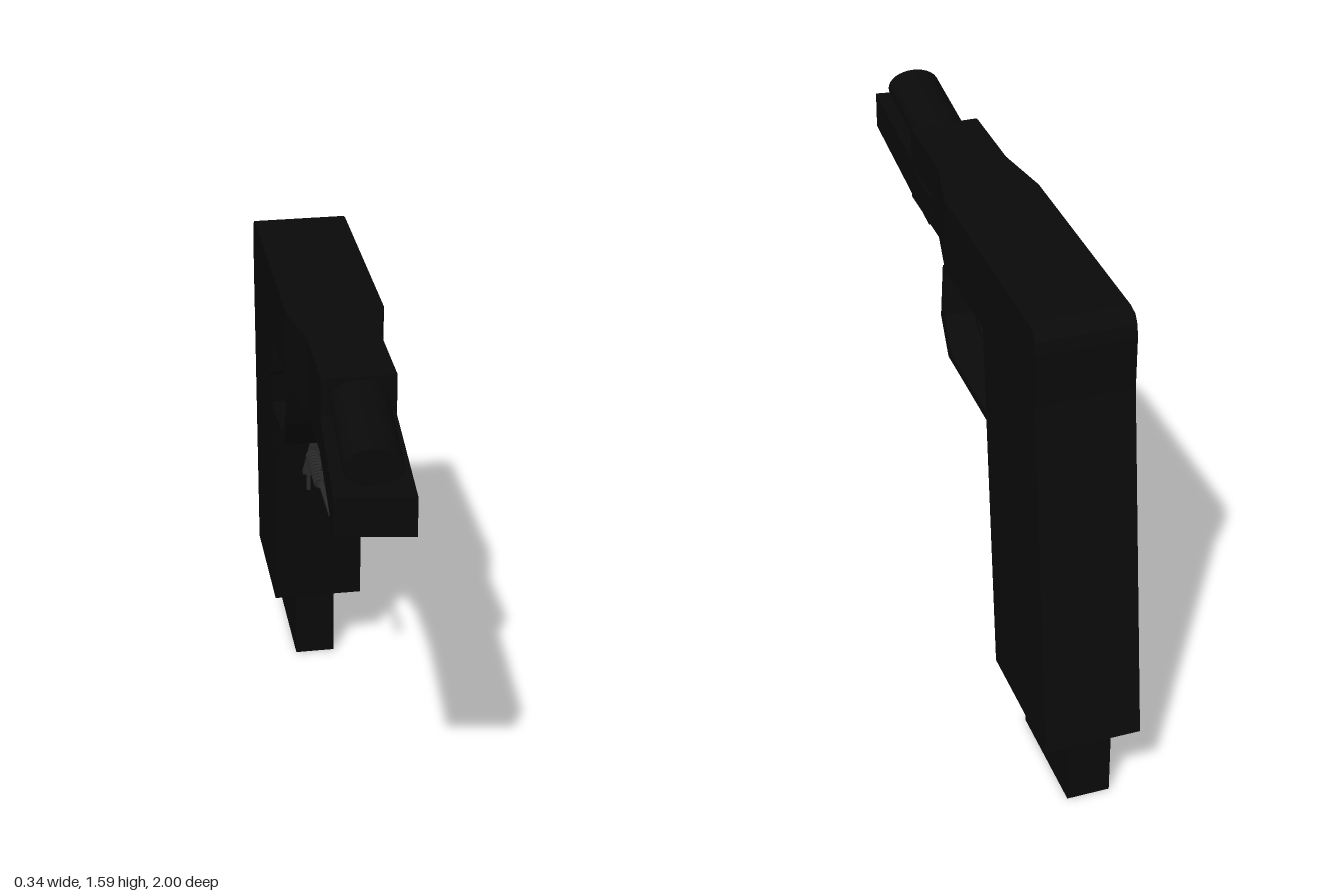
import * as THREE from 'three';

const dark = new THREE.MeshStandardMaterial({ color: 0x0a0a0a, flatShading: true });
const barrelMat = new THREE.MeshStandardMaterial({ color: 0x0a0a0a });
const steel = new THREE.MeshStandardMaterial({ color: 0x2a2a2a });

// Skins a row of four-cornered rings, closed at both ends.
// Corners run counter-clockwise seen from the last ring's side.
function loft(rings) {
  const pos = [];
  const quad = (a, b, c, d) => pos.push(...a, ...b, ...c, ...a, ...c, ...d);
  for (let r = 0; r < rings.length - 1; r++) {
    for (let i = 0; i < 4; i++) {
      const j = (i + 1) % 4;
      quad(rings[r][i], rings[r][j], rings[r + 1][j], rings[r + 1][i]);
    }
  }
  const first = rings[0], last = rings[rings.length - 1];
  quad(first[3], first[2], first[1], first[0]);
  quad(last[0], last[1], last[2], last[3]);
  const g = new THREE.BufferGeometry();
  g.setAttribute('position', new THREE.Float32BufferAttribute(pos, 3));
  g.computeVertexNormals();
  return g;
}

// Ring across z; zr lets the right edge lie at another depth.
const ringZ = ([z, xl, xr, yb, yt, zr = z]) =>
  [[xl, yb, z], [xr, yb, zr], [xr, yt, zr], [xl, yt, z]];
// Ring across y.
const ringY = ([y, xl, xr, zBack, zFront]) =>
  [[xl, y, zFront], [xr, y, zFront], [xr, y, zBack], [xl, y, zBack]];
// Ring of a bent strip: outer and inner points in the z-y plane.
const ringStrip = ([xl, xr, zo, yo, zi, yi]) =>
  [[xl, yo, zo], [xr, yo, zo], [xr, yi, zi], [xl, yi, zi]];

export function createModel() {
  const model = new THREE.Group();
  const add = (name, geometry, material = dark, parent = model) => {
    const mesh = new THREE.Mesh(geometry, material);
    mesh.name = name;
    parent.add(mesh);
    return mesh;
  };

  // Upper body with rounded rear edge and narrowed waist
  add('upperBody', loft([
    [-0.8, -0.155, 0.145, 1.345, 1.51],
    [-0.793, -0.155, 0.145, 1.345, 1.55],
    [-0.775, -0.155, 0.145, 1.345, 1.575],
    [-0.74, -0.155, 0.145, 1.345, 1.583],
    [0, -0.155, 0.145, 1.345, 1.585],
    [0.2, -0.12, 0.1, 1.345, 1.588],
    [0.48, -0.12, 0.1, 1.345, 1.588],
  ].map(ringZ)));
  add('sideRidge', loft([
    [0.26, 0.05, 0.113, 1.36, 1.46],
    [0.48, 0.05, 0.1, 1.36, 1.46],
  ].map(ringZ)));

  // Front rail, swung slightly to one side
  add('frontRail', loft([
    [0.44, -0.12, 0.1, 1.35, 1.47],
    [0.96, -0.16, 0.065, 1.35, 1.47, 0.995],
  ].map(ringZ)));

  // Flattened round barrel lying on the rail
  const barrelGeo = new THREE.CylinderGeometry(1, 1, 0.47, 32);
  barrelGeo.rotateX(Math.PI / 2).scale(0.085, 0.057, 1);
  const barrel = add('barrel', barrelGeo, barrelMat);
  barrel.position.set(-0.025, 1.522, 0.675);
  barrel.rotation.y = -0.07;

  // Grip and the block below it
  add('grip', loft([
    [0.25, -0.13, 0.17, -1, -0.55],
    [1.345, -0.155, 0.145, -0.8, -0.355],
  ].map(ringY)));
  add('gripBase', loft([
    [0, -0.055, 0.08, -0.955, -0.577],
    [0.26, -0.055, 0.08, -0.955, -0.577],
  ].map(ringY)));

  // Wide bent guard strip
  add('guard', loft([
    [-0.153, 0.155, -0.43, 1.062, -0.42, 1.09],
    [-0.153, 0.16, -0.2, 1.078, -0.2, 1.105],
    [-0.153, 0.166, -0.09, 1.092, -0.12, 1.12],
    [-0.153, 0.166, -0.02, 1.2, -0.055, 1.215],
    [-0.15, 0.145, 0.022, 1.35, -0.012, 1.35],
  ].map(ringStrip)));

  // Hooked trigger
  add('trigger', loft([
    [-0.174, 0.12, -0.285, 1.258, -0.28, 1.268],
    [-0.174, 0.12, -0.25, 1.262, -0.255, 1.275],
    [-0.17, 0.12, -0.222, 1.285, -0.236, 1.292],
    [-0.16, 0.12, -0.208, 1.35, -0.224, 1.35],
  ].map(ringStrip)));

  // Small spring-and-pin assembly on the front of the grip
  const pin = new THREE.Group();
  pin.name = 'springPin';
  pin.position.set(-0.012, 0.863, 0);
  model.add(pin);
  const rod = (name, radius, z0, z1) => {
    const g = new THREE.CylinderGeometry(radius, radius, z1 - z0, 12);
    g.rotateX(Math.PI / 2);
    add(name, g, steel, pin).position.z = (z0 + z1) / 2;
  };
  rod('rod', 0.01, -0.25, -0.03);
  rod('springCore', 0.015, -0.47, -0.235);
  const coil = [];
  for (let i = 0; i <= 120; i++) {
    const a = (i / 12) * Math.PI * 2;
    coil.push(new THREE.Vector3(0.019 * Math.cos(a), 0.019 * Math.sin(a), -0.235 - 0.21 * i / 120));
  }
  add('spring', new THREE.TubeGeometry(new THREE.CatmullRomCurve3(coil), 180, 0.006, 6), steel, pin);

  // Wire loop above the spring
  const wire = new THREE.CurvePath();
  const corners = [[0, 0.015, -0.23], [0.014, 0.074, -0.258], [0.005, 0.015, -0.29]]
    .map((p) => new THREE.Vector3(...p));
  wire.add(new THREE.LineCurve3(corners[0], corners[1]));
  wire.add(new THREE.LineCurve3(corners[1], corners[2]));
  add('wireLoop', new THREE.TubeGeometry(wire, 16, 0.005, 6), steel, pin);

  // Thin plate and tail hanging at the rear of the spring
  const plate = add('mountPlate', new THREE.BoxGeometry(0.045, 0.12, 0.02), steel, pin);
  plate.position.set(0, -0.01, -0.44);
  plate.rotation.z = -0.2;
  const tail = add('mountTail', new THREE.BoxGeometry(0.012, 0.08, 0.015), steel, pin);
  tail.position.set(-0.012, -0.095, -0.455);

  return model;
}
